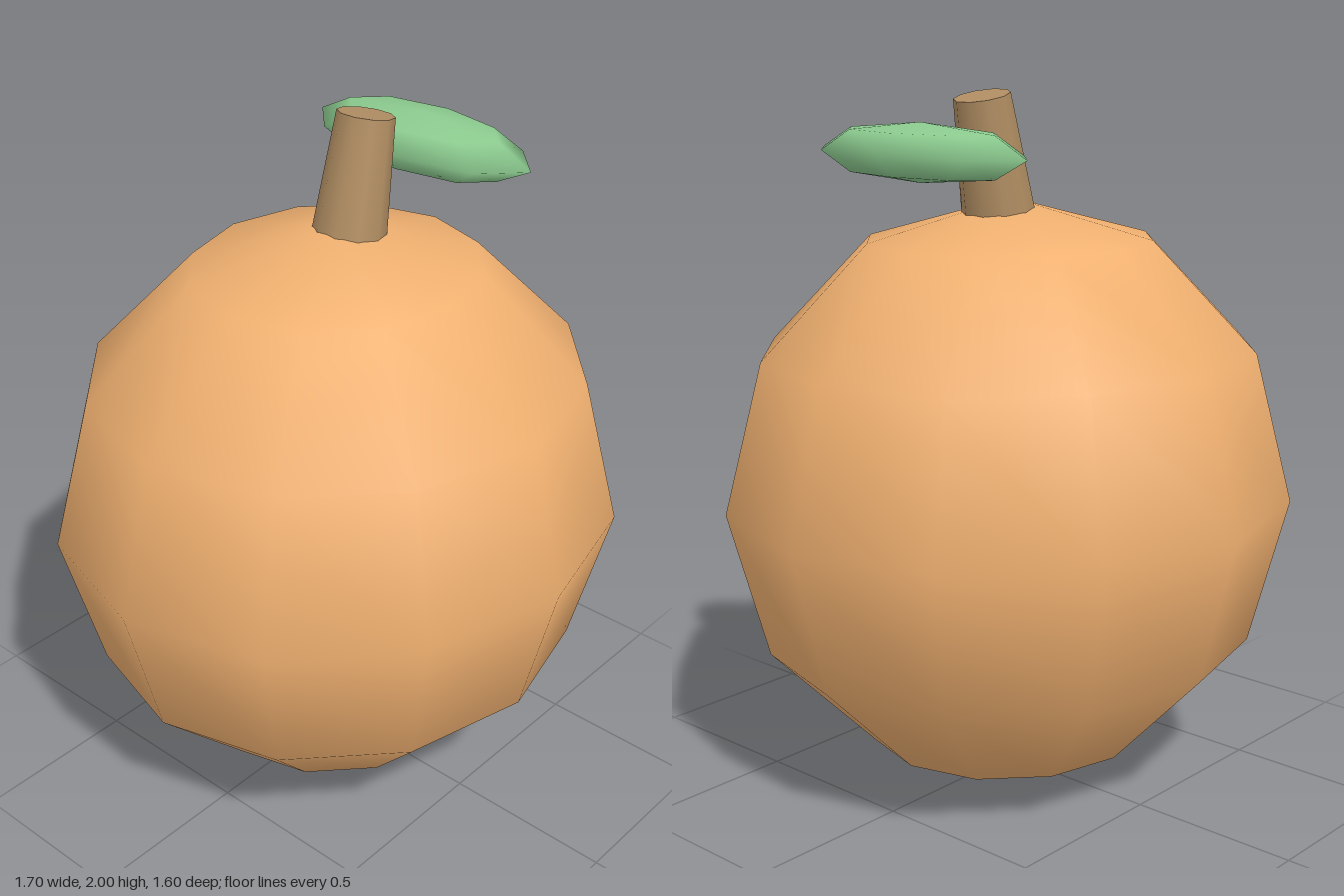
import * as THREE from 'three';

// Smooth-shaded, coarse ellipsoid with semi-axes rx, ry, rz
function ellipsoid(name, [rx, ry, rz], widthSegments, heightSegments, color) {
  const geometry = new THREE.SphereGeometry(1, widthSegments, heightSegments);
  geometry.scale(rx, ry, rz);
  const mesh = new THREE.Mesh(geometry, new THREE.MeshStandardMaterial({ color }));
  mesh.name = name;
  return mesh;
}

export function createModel() {
  const group = new THREE.Group();
  group.name = 'fruit';

  // Body: slightly flattened front to back
  const body = ellipsoid('fruitBody', [0.85, 0.85, 0.8], 12, 6, 0xf0b070);
  body.position.y = 0.85;

  // Stem: tapered, leaning towards the leaf, sunk into the body
  const stem = new THREE.Mesh(
    new THREE.CylinderGeometry(0.08, 0.105, 0.35, 10),
    new THREE.MeshStandardMaterial({ color: 0xb08d62 })
  );
  stem.name = 'stem';
  stem.position.set(0.08, 1.813, 0);
  stem.rotation.z = -0.2;

  // Leaf: long flat ellipsoid beside the stem
  const leaf = ellipsoid('leaf', [0.16, 0.08, 0.375], 8, 4, 0x8ccb8f);
  leaf.position.set(0.355, 1.845, 0);

  group.add(body, stem, leaf);
  return group;
}
